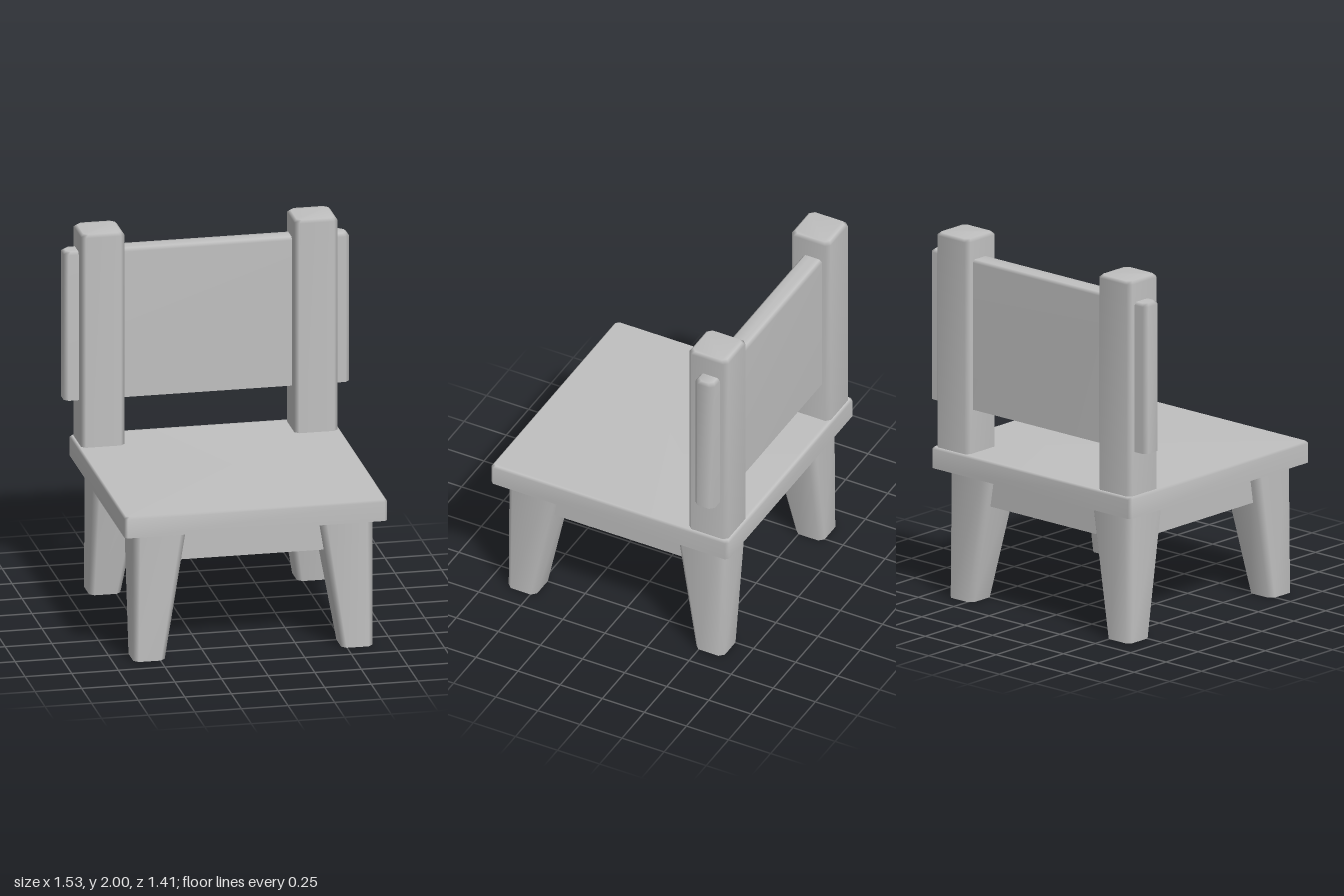
import * as THREE from 'three';

// Chamfered rectangular shell lofted through levels [y, x0, x1, z0, z1, chamfer];
// smooth shaded, open at the bottom, optionally capped on top.
function loft(levels, capped) {
  const pos = [], idx = [], n = 8;
  for (const [y, x0, x1, z0, z1, c] of levels) {
    const ring = [
      [x1, z0 + c], [x1, z1 - c], [x1 - c, z1], [x0 + c, z1],
      [x0, z1 - c], [x0, z0 + c], [x0 + c, z0], [x1 - c, z0],
    ];
    for (const [x, z] of ring) pos.push(x, y, z);
  }
  for (let l = 0; l < levels.length - 1; l++) {
    for (let i = 0; i < n; i++) {
      const a = l * n + i, b = l * n + (i + 1) % n;
      idx.push(a, a + n, b, b, a + n, b + n);
    }
  }
  const top = (levels.length - 1) * n;
  if (capped) for (let i = 1; i < n - 1; i++) idx.push(top, top + i + 1, top + i);
  const geo = new THREE.BufferGeometry();
  geo.setAttribute('position', new THREE.Float32BufferAttribute(pos, 3));
  geo.setIndex(idx);
  geo.computeVertexNormals();
  return geo;
}

// Upright block with a small bevel around its top
function block(x0, x1, y0, y1, z0, z1, c) {
  const b = c * 0.7;
  return loft([
    [y0, x0, x1, z0, z1, c],
    [y1 - b, x0, x1, z0, z1, c],
    [y1, x0 + b, x1 - b, z0 + b, z1 - b, c],
  ], true);
}

export function createModel() {
  const chair = new THREE.Group();
  chair.name = 'chair';
  const grey = new THREE.MeshStandardMaterial({ color: 0xc0c0c0, side: THREE.DoubleSide });
  grey.name = 'light grey';

  const add = (name, geo) => {
    const mesh = new THREE.Mesh(geo, grey);
    mesh.name = name;
    chair.add(mesh);
    return mesh;
  };

  // Seat slab
  add('seat', block(-0.705, 0.705, 0.71, 0.825, -0.705, 0.705, 0.016));

  // Backrest panel, passing through both posts
  add('backPanel', block(-0.765, 0.765, 1.065, 1.885, -0.65, -0.535, 0.022));

  // Back posts
  for (const [side, cx] of [['left', 0.572], ['right', -0.572]]) {
    add(side + 'BackPost', block(cx - 0.116, cx + 0.116, 0.81, 2, -0.69, -0.458, 0.022));
  }

  // Tapered legs: straight outside, sloping inside, hollow at the foot
  for (const [sideX, sx] of [['Left', 1], ['Right', -1]]) {
    for (const [sideZ, sz] of [['front', 1], ['back', -1]]) {
      const level = (y, inner, c) => {
        const span = (s) => (s > 0 ? [inner, 0.642] : [-0.642, -inner]);
        return [y, ...span(sx), ...span(sz), c];
      };
      add(sideZ + sideX + 'Leg', loft([level(0, 0.473, 0.025), level(0.8, 0.342, 0.035)], false));
    }
  }

  // Apron boards under the seat, set just inside the leg faces
  for (let i = 0; i < 4; i++) {
    const board = add('apron', new THREE.PlaneGeometry(1.18, 0.265));
    const a = i * Math.PI / 2;
    board.position.set(Math.sin(a) * 0.59, 0.6675, Math.cos(a) * 0.59);
    board.rotation.y = a;
  }

  return chair;
}
